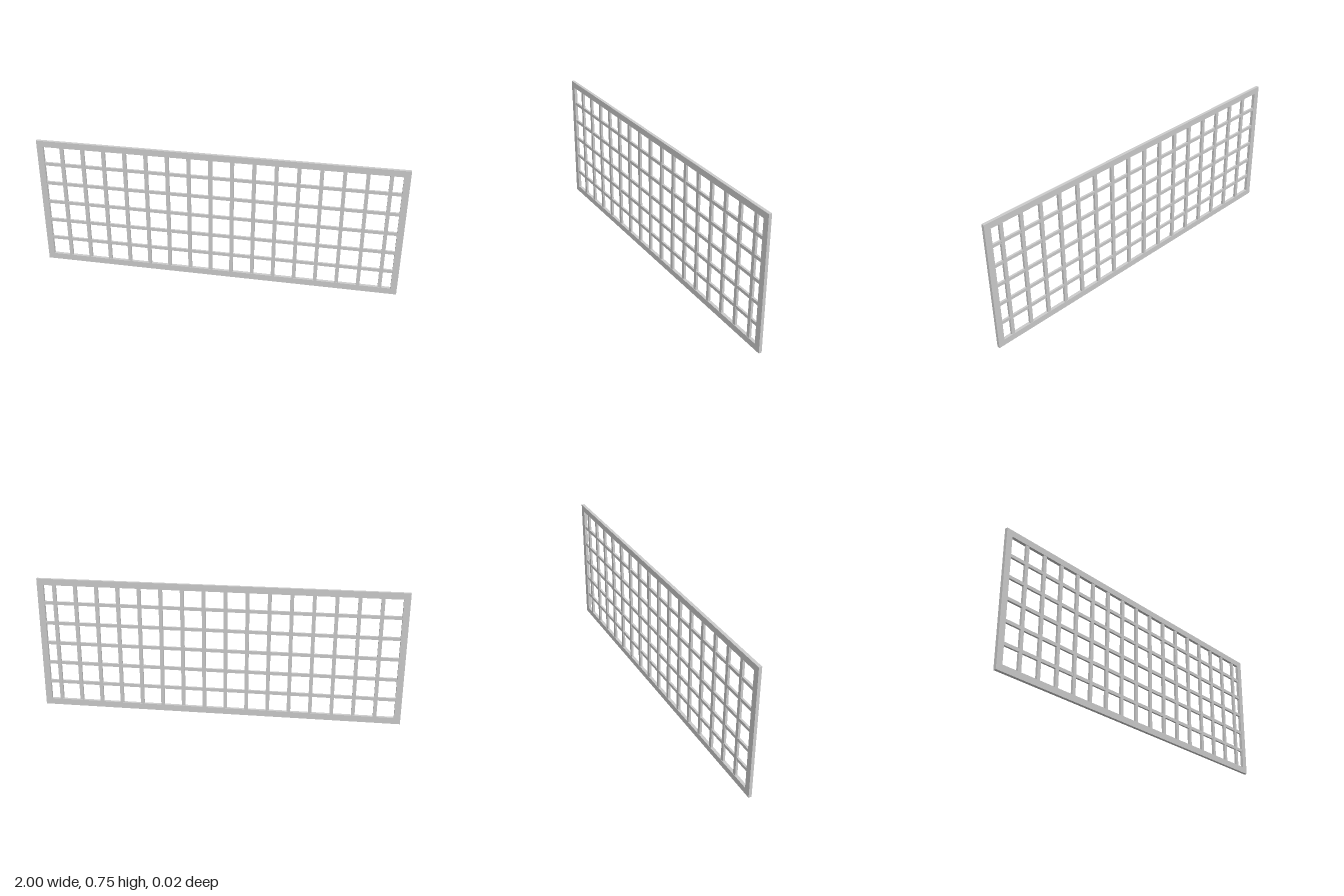
import * as THREE from 'three';

const W = 2, H = 0.748, DEPTH = 0.017, RIM = 0.035;
const PITCH = 0.1178, BAR = 0.02;

export function createModel() {
  const group = new THREE.Group();
  group.name = 'latticePanel';
  const material = new THREE.MeshStandardMaterial({ color: 0xcccccc });

  const add = (geometry, name, x, y, z) => {
    const mesh = new THREE.Mesh(geometry, material);
    mesh.name = name;
    mesh.position.set(x, y, z);
    group.add(mesh);
  };

  // Outer frame: one rectangle with a rectangular opening
  const rect = (Type, x, y) => new Type([
    new THREE.Vector2(-x, -y), new THREE.Vector2(x, -y),
    new THREE.Vector2(x, y), new THREE.Vector2(-x, y),
  ]);
  const outline = rect(THREE.Shape, W / 2, H / 2);
  outline.holes.push(rect(THREE.Path, W / 2 - RIM, H / 2 - RIM));
  const frame = new THREE.ExtrudeGeometry(outline, { depth: DEPTH, bevelEnabled: false });
  add(frame, 'frame', 0, H / 2, -DEPTH / 2);

  // Upright bars, slightly recessed and ending inside the frame
  const upright = new THREE.BoxGeometry(BAR, H - RIM, 0.013);
  for (let i = 0; i < 16; i++) add(upright, 'verticalBar', -0.861 + i * PITCH, H / 2, 0);

  // Cross bars, a touch thinner so they pass through the uprights
  const cross = new THREE.BoxGeometry(W - RIM, 0.018, 0.011);
  for (let i = 0; i < 5; i++) add(cross, 'horizontalBar', 0, 0.142 + i * 0.117, 0);

  return group;
}
